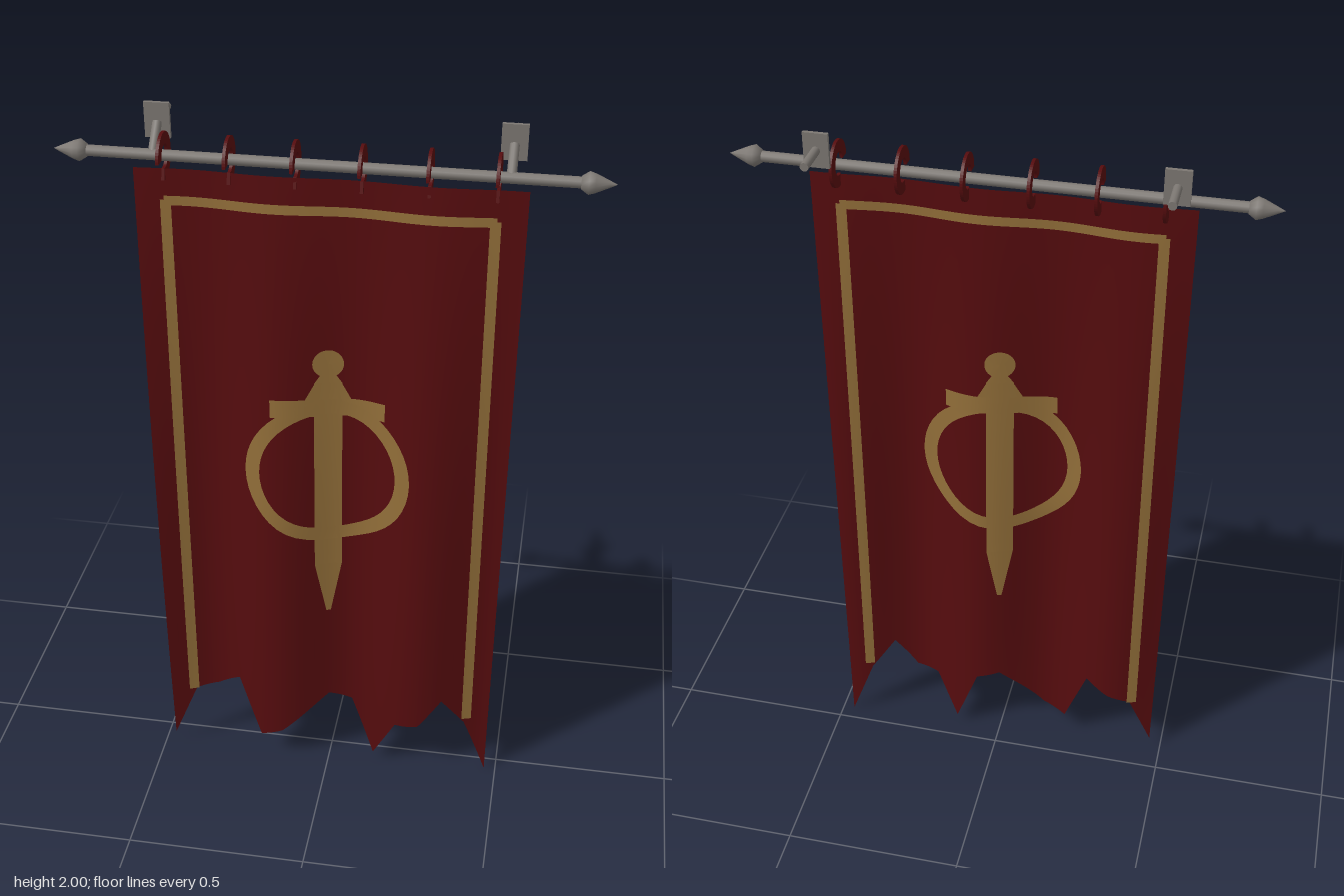
import * as THREE from 'three';

const cloth = new THREE.MeshStandardMaterial({ name: 'darkRedCloth', color: 0x560c0e, side: THREE.DoubleSide });
const gold = new THREE.MeshStandardMaterial({ name: 'goldThread', color: 0x94703a, side: THREE.DoubleSide });
const iron = new THREE.MeshStandardMaterial({ name: 'greyIron', color: 0x7c7772 });

const ROD_Y = 1.89, ROD_Z = 0.045, TOP = 1.86;

// depth of the hanging folds, shallow at the rod and fuller below
function foldZ(x, y) {
  const t = (TOP - y) / TOP;
  const amp = 0.01 + 0.05 * Math.sin(2.2 * t);
  return 0.052 - 0.01 * t + amp * (0.5 + 0.5 * Math.cos((2 * Math.PI * (x + 0.14)) / 0.4));
}

// surface between two edge curves a(u) and b(u), draped over the folds
function drape(a, b, n, m, offset = 0) {
  const pos = [], index = [];
  for (let i = 0; i <= n; i++) {
    const p = a(i / n), q = b(i / n);
    for (let j = 0; j <= m; j++) {
      const x = p[0] + ((q[0] - p[0]) * j) / m, y = p[1] + ((q[1] - p[1]) * j) / m;
      pos.push(x, y, foldZ(x, y) + offset);
      if (i < n && j < m) {
        const k = i * (m + 1) + j;
        index.push(k, k + 1, k + m + 1, k + 1, k + m + 2, k + m + 1);
      }
    }
  }
  const g = new THREE.BufferGeometry();
  g.setAttribute('position', new THREE.Float32BufferAttribute(pos, 3));
  g.setIndex(index);
  g.computeVertexNormals();
  return g;
}

function add(parent, name, geometry, material, x = 0, y = 0, z = 0) {
  const mesh = new THREE.Mesh(geometry, material);
  mesh.name = name;
  mesh.position.set(x, y, z);
  parent.add(mesh);
  return mesh;
}

// round bar between two points
function bar(parent, name, from, to, r) {
  const d = to.clone().sub(from);
  const mesh = add(parent, name, new THREE.CylinderGeometry(r, r, d.length(), 12), iron);
  mesh.position.copy(from).addScaledVector(d, 0.5);
  mesh.quaternion.setFromUnitVectors(new THREE.Vector3(0, 1, 0), d.normalize());
}

// ragged hem heights at even steps across the width
const HEM = [0.04, 0.204, 0.225, 0.268, 0.077, 0.109, 0.175, 0.241, 0.22, 0.029, 0.172, 0.183, 0.279, 0.183, 0];
function hemY(u) {
  const s = u * (HEM.length - 1), i = Math.min(Math.floor(s), HEM.length - 2);
  return HEM[i] + (HEM[i + 1] - HEM[i]) * (s - i);
}

// embroidery on one face of the cloth
function embroidery(offset) {
  const g = new THREE.Group();
  const rect = (name, x0, x1, y0, y1, n, m) =>
    add(g, name, drape(u => [x0 + (x1 - x0) * u, y0], u => [x0 + (x1 - x0) * u, y1], n, m, offset), gold);
  const ring = (name, cy, r0, r1) => {
    const at = r => u => [r * Math.cos(u * 2 * Math.PI), cy + r * Math.sin(u * 2 * Math.PI)];
    add(g, name, drape(at(r0), at(r1), 48, 2, offset), gold);
  };
  const taper = (name, w0, y0, w1, y1, n) => {
    const edge = s => u => [s * (w0 + (w1 - w0) * u), y0 + (y1 - y0) * u];
    add(g, name, drape(edge(-1), edge(1), n, 4, offset), gold);
  };
  // border
  rect('leftBorder', 0.393, 0.42, 0.2, 1.78, 2, 40);
  rect('rightBorder', -0.42, -0.393, 0.205, 1.78, 2, 40);
  rect('topBorder', -0.41, 0.41, 1.765, 1.79, 48, 1);
  // sword and circle
  ring('emblemCircle', 1.025, 0.182, 0.222);
  ring('swordPommel', 1.355, 0, 0.04);
  taper('swordNeck', 0.018, 1.325, 0.035, 1.3, 1);
  rect('swordGuard', -0.15, 0.15, 1.2, 1.252, 24, 2);
  taper('swordGuardCentre', 0.036, 1.295, 0.06, 1.25, 2);
  taper('swordBlade', 0.036, 1.3, 0.036, 0.72, 16);
  taper('swordPoint', 0.036, 0.72, 0.006, 0.555, 6);
  return g;
}

export function createModel() {
  const model = new THREE.Group();
  model.name = 'hangingBanner';

  // cloth with torn hem
  add(model, 'bannerCloth', drape(
    u => [(u - 0.5) * 0.966, TOP],
    u => [(u - 0.5) * 0.934, hemY(u)], 70, 40), cloth);
  const front = embroidery(0.004);
  front.name = 'frontEmbroidery';
  const back = embroidery(-0.004);
  back.name = 'backEmbroidery';
  model.add(front, back);

  // rod with pointed finials
  bar(model, 'rod', new THREE.Vector3(-0.61, ROD_Y, ROD_Z), new THREE.Vector3(0.61, ROD_Y, ROD_Z), 0.014);
  const profile = [[0, 0], [0.016, 0], [0.028, 0.018], [0.023, 0.034], [0.008, 0.068], [0, 0.085]]
    .map(p => new THREE.Vector2(p[0], p[1]));
  for (const s of [-1, 1]) {
    const finial = add(model, 'finial', new THREE.LatheGeometry(profile, 12), iron, s * 0.6, ROD_Y, ROD_Z);
    finial.rotation.z = -s * Math.PI / 2;
  }

  // flat open hanging loops
  const end = 1.58 * Math.PI;
  const loop = new THREE.Shape();
  loop.absarc(0, 0, 0.06, 0, end, false);
  loop.absarc(0, 0, 0.03, end, 0, true);
  const loopGeometry = new THREE.ExtrudeGeometry(loop, { depth: 0.008, bevelEnabled: false, curveSegments: 20 });
  loopGeometry.translate(0, 0, -0.004);
  for (let i = 0; i < 6; i++) {
    const mesh = add(model, 'hangingLoop', loopGeometry, cloth, -0.408 + i * 0.1632, ROD_Y, ROD_Z + 0.005);
    mesh.rotation.y = -Math.PI / 2;
  }

  // wall brackets
  for (const s of [-1, 1]) {
    const bracket = new THREE.Group();
    bracket.name = 'wallBracket';
    bracket.position.x = s * 0.436;
    add(bracket, 'bracketPlate', new THREE.BoxGeometry(0.064, 0.09, 0.01), iron, 0, 1.955, -0.018);
    bar(bracket, 'wallPeg', new THREE.Vector3(0, 1.955, -0.113), new THREE.Vector3(0, 1.955, -0.015), 0.011);
    bar(bracket, 'bracketArm', new THREE.Vector3(0, 1.95, -0.015), new THREE.Vector3(0, ROD_Y, ROD_Z), 0.012);
    model.add(bracket);
  }
  return model;
}
